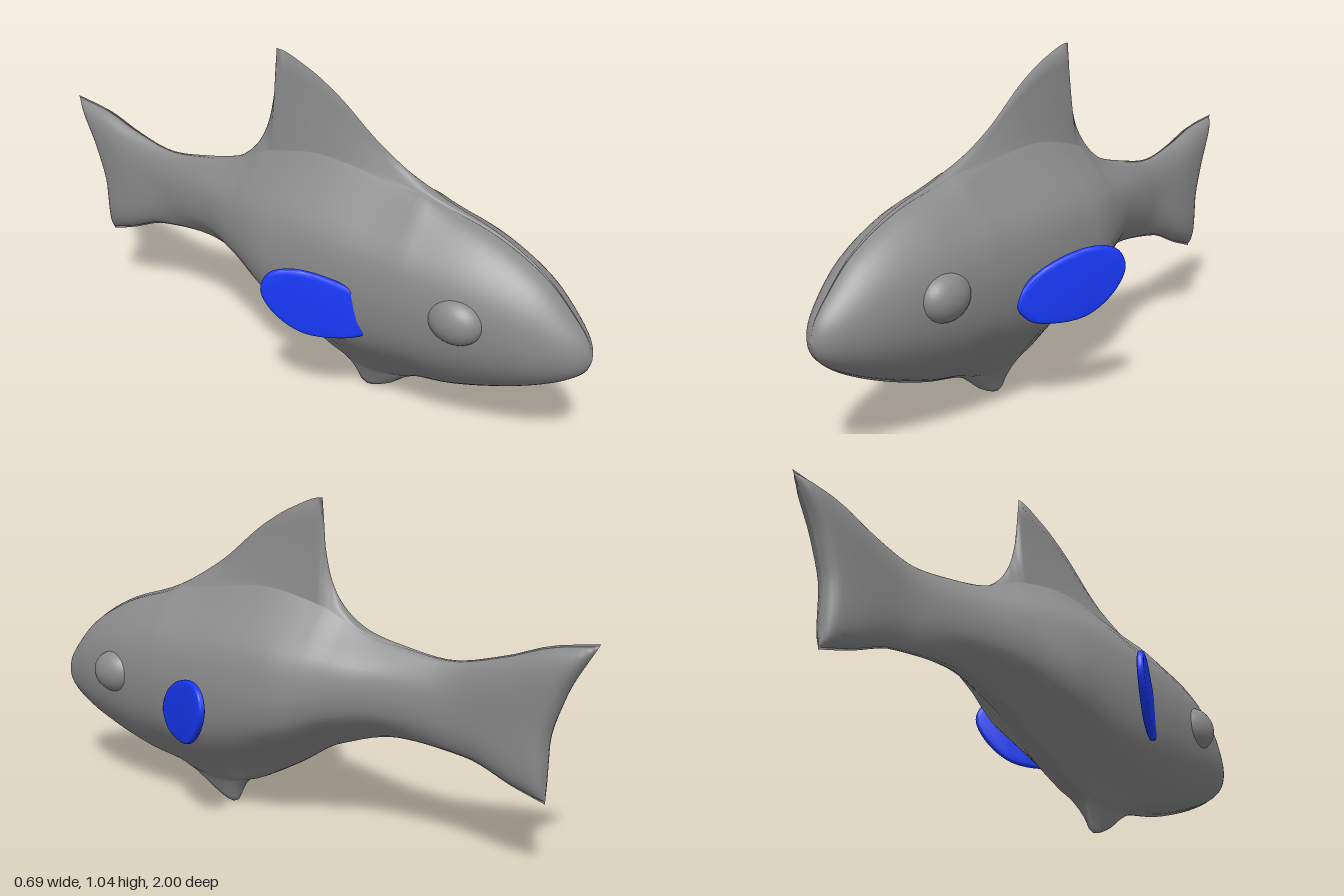
import * as THREE from 'three';
import { toCreasedNormals } from 'three/addons/utils/BufferGeometryUtils.js';

const { lerp, clamp } = THREE.MathUtils;

// Monotone cubic through [z, value] points, listed with z falling
function profile(points) {
  const p = [...points].reverse();
  const d = p.slice(1).map((q, i) => (q[1] - p[i][1]) / (q[0] - p[i][0]));
  const m = p.map((_, i) => {
    const a = d[i - 1], b = d[i];
    if (a === undefined) return b;
    if (b === undefined) return a;
    return a * b <= 0 ? 0 : (2 * a * b) / (a + b);
  });
  return (z) => {
    let i = 0;
    while (i < p.length - 2 && z > p[i + 1][0]) i++;
    const h = p[i + 1][0] - p[i][0];
    const t = clamp((z - p[i][0]) / h, 0, 1);
    const t2 = t * t, t3 = t2 * t;
    return (2 * t3 - 3 * t2 + 1) * p[i][1] + (t3 - 2 * t2 + t) * h * m[i]
      + (3 * t2 - 2 * t3) * p[i + 1][1] + (t3 - t2) * h * m[i + 1];
  };
}

// Outline of back and belly, fins included
const back = profile([[1, 0.36], [0.985, 0.41], [0.945, 0.465], [0.84, 0.57], [0.68, 0.655], [0.49, 0.715],
  [0.3, 0.815], [0.12, 0.95], [0.01, 1.01], [-0.1, 1.045], [-0.112, 0.9], [-0.14, 0.79], [-0.19, 0.71],
  [-0.26, 0.658], [-0.4, 0.625], [-0.55, 0.605], [-0.72, 0.64], [-0.87, 0.69], [-1, 0.71]]);
const belly = profile([[1, 0.36], [0.99, 0.325], [0.965, 0.295], [0.89, 0.245], [0.73, 0.175], [0.57, 0.125],
  [0.44, 0.1], [0.33, 0.026], [0.2575, 0], [0.235, 0.01], [0.2, 0.085], [0.14, 0.107], [-0.02, 0.19],
  [-0.18, 0.285], [-0.395, 0.34], [-0.61, 0.32], [-0.77, 0.26], [-0.865, 0.23]]);
// Limits of the thick body, below the dorsal fin and above the belly fin
const coreTop = profile([[1, 0.7], [0.49, 0.715], [0.1, 0.76], [-0.12, 0.72], [-0.26, 0.66], [-1, 0.72]]);
const coreBottom = profile([[1, 0.1], [0.44, 0.1], [0.3, 0.08], [0.14, 0.105], [-0.02, 0.17], [-1, 0.1]]);
const middle = profile([[1, 0.36], [0.6, 0.42], [0, 0.43], [-0.3, 0.48], [-0.55, 0.465], [-1, 0.46]]);
const halfWidth = profile([[1, 0], [0.985, 0.03], [0.95, 0.061], [0.9, 0.088], [0.8, 0.128], [0.6, 0.174],
  [0.4, 0.197], [0.2, 0.206], [0, 0.2], [-0.2, 0.143], [-0.35, 0.09], [-0.5, 0.055], [-0.6, 0.04],
  [-0.75, 0.048], [-0.82, 0.044], [-0.85, 0.033], [-0.862, 0.014], [-0.865, 0]]);
// Pointed cross-section, and how far it turns oval at head and tail
const lens = profile([[1, 0.17], [0.82, 0.39], [0.65, 0.63], [0.47, 0.85], [0.25, 0.96], [0, 1]]);
const ovalness = profile([[1, 1], [0.6, 0.65], [0.3, 0.05], [-0.15, 0], [-0.5, 0.7], [-0.75, 1]]);
// Concave rear edge of the tail, from lower tip (0) to upper tip (1)
const tailEdge = profile([[1, -1], [0.66, -0.91], [0.35, -0.868], [0, -0.865]]);

const TAIL = -0.55, TAIL_END = -0.865;
const CORE = 12, FIN = 5;

function bodyGeometry() {
  const stations = [];
  for (let i = 0; i <= 12; i++) stations.push(1 - 0.2 * (i / 12) ** 2);
  for (let z = 0.775; z > -0.09; z -= 0.0225) stations.push(z);
  for (let z = -0.1; z > -0.2; z -= 0.006) stations.push(z);
  for (let z = -0.21; z > -0.83; z -= 0.03) stations.push(z);
  stations.push(-0.832, -0.845, -0.855, -0.862, TAIL_END);

  const pos = [], index = [];
  for (const z of stations) {
    const e = Math.max(0, (z - TAIL) / (TAIL_END - TAIL));
    const yt = back(e > 0 ? TAIL + e * (-1 - TAIL) : z), yb = belly(z);
    const w = halfWidth(z), yc = clamp(middle(z), yb, yt);
    // One half of the section, from the middle line out to an edge
    const half = (edge, core) => {
      const pts = [];
      for (let k = 0; k <= CORE; k++) {
        const f = Math.sin((k / CORE) * Math.PI / 2);
        const oval = Math.sqrt(1 - Math.min(1, f) ** (2 + 4 * e));
        pts.push([w * lerp(lens(f), oval, ovalness(z)), yc + (core - yc) * f]);
      }
      // Round cap where the edge is close, thin blade where a fin rises
      const rim = pts[CORE][0], blade = Math.min(1, Math.abs(edge - core) / 0.08);
      for (let k = 1; k <= FIN; k++) {
        const f = k / FIN;
        pts.push([rim * lerp(Math.sqrt(1 - f * f), (1 - f) ** 1.2, blade), core + (edge - core) * f]);
      }
      return pts;
    };
    const up = half(yt, Math.min(coreTop(z), yt - 0.03 * (yt - yc)));
    const down = half(yb, Math.max(coreBottom(z), yb + 0.03 * (yc - yb)));
    const side = [...down.reverse(), ...up.slice(1)];
    const ring = [...side, ...side.slice(1, -1).reverse().map(([x, y]) => [-x, y])];
    for (const [x, y] of ring) {
      const s = (y - yb) / Math.max(yt - yb, 1e-6);
      pos.push(x, y, e > 0 ? TAIL + e * (tailEdge(s) - TAIL) : z);
    }
  }
  const n = pos.length / 3 / stations.length;
  for (let i = 0; i < stations.length - 1; i++) {
    for (let j = 0; j < n; j++) {
      const a = i * n + j, b = i * n + (j + 1) % n;
      index.push(a, a + n, b, b, a + n, b + n);
    }
  }
  const geo = new THREE.BufferGeometry();
  geo.setAttribute('position', new THREE.Float32BufferAttribute(pos, 3));
  geo.setIndex(index);
  geo.computeVertexNormals();
  return geo;
}

// Thin rounded paddle, its root at x = 0
function finGeometry() {
  const outline = [[0.39, 0.34], [0.36, 0.295], [0.3, 0.277], [0.2, 0.286], [0.125, 0.345], [0.09, 0.42],
    [0.11, 0.475], [0.17, 0.494], [0.27, 0.47], [0.35, 0.42], [0.382, 0.375]];
  const curve = new THREE.CatmullRomCurve3(
    outline.map(([z, y]) => new THREE.Vector3((0.39 - z) * 1.15, y, 0)), true);
  const shape = new THREE.Shape(curve.getPoints(48).slice(0, -1).map((p) => new THREE.Vector2(p.x, p.y)));
  const geo = new THREE.ExtrudeGeometry(shape, {
    depth: 0.008, bevelThickness: 0.007, bevelSize: 0.014, bevelOffset: -0.014, bevelSegments: 3,
  });
  geo.translate(0, 0, -0.004);
  return toCreasedNormals(geo, 0.8);
}

export function createModel() {
  const model = new THREE.Group();
  model.name = 'fish';
  const grey = new THREE.MeshStandardMaterial({ color: 0x8a8a8a });
  const blue = new THREE.MeshStandardMaterial({ color: 0x183afc });
  const add = (name, geo, mat) => {
    const mesh = new THREE.Mesh(geo, mat);
    mesh.name = name;
    model.add(mesh);
    return mesh;
  };

  const BODY_X = -0.015;
  add('body', bodyGeometry(), grey).position.x = BODY_X;

  const eyeGeo = new THREE.SphereGeometry(1, 32, 20);
  const finGeo = finGeometry();
  const finAngle = Math.atan2(0.305, 0.17);
  for (const [side, s] of [['left', 1], ['right', -1]]) {
    const eye = add(side + 'Eye', eyeGeo, grey);
    eye.scale.set(0.058, 0.071, 0.087);
    eye.position.set(BODY_X + s * 0.142, 0.425, 0.645);

    const fin = add(side + 'SideFin', finGeo, blue);
    fin.position.set(s * 0.17, 0, 0.39);
    fin.rotation.y = s > 0 ? finAngle : Math.PI - finAngle;
  }
  return model;
}
